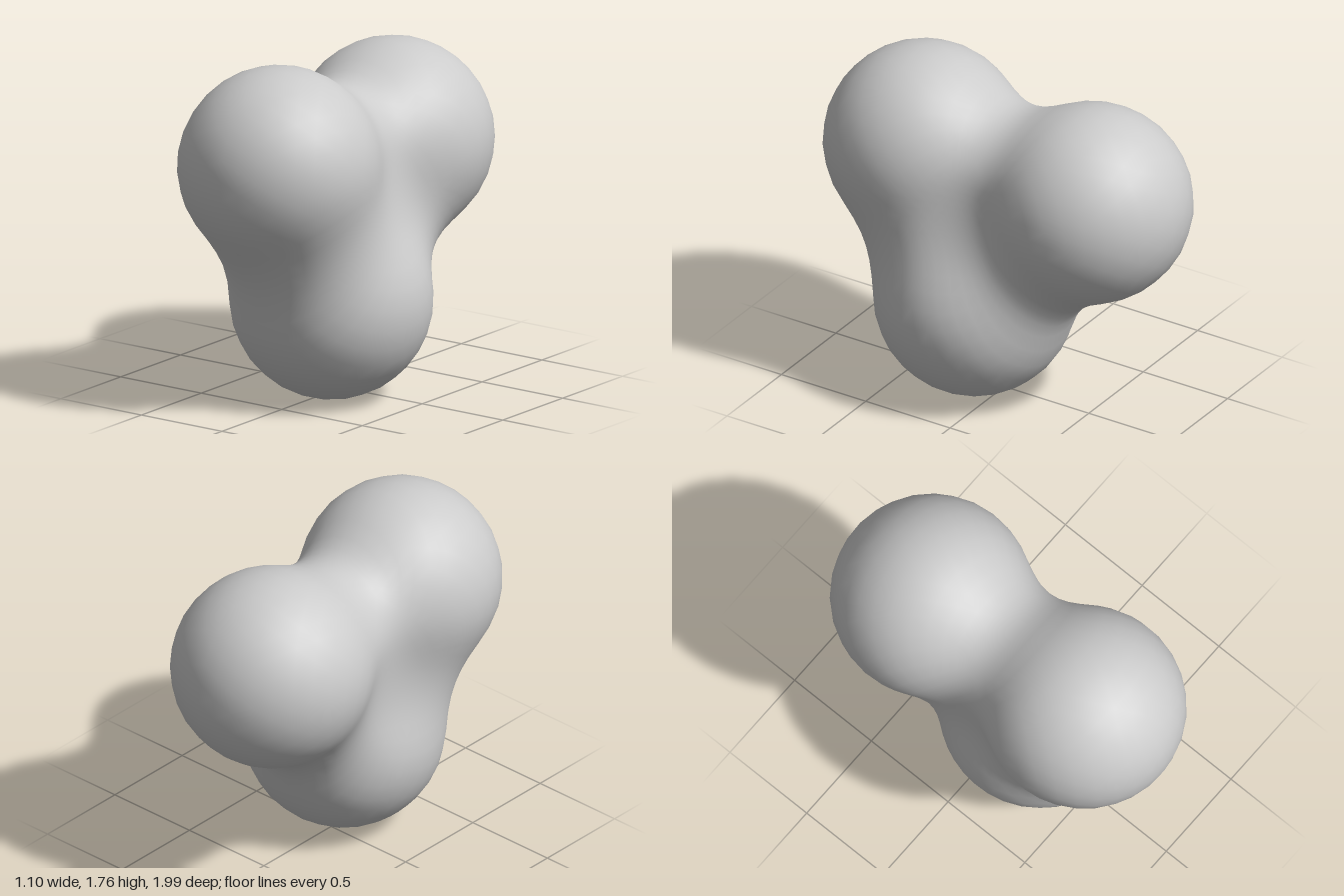
import * as THREE from 'three';
import { mergeVertices } from 'three/addons/utils/BufferGeometryUtils.js';

// Three equal balls that melt into each other
const BALLS = [
  new THREE.Vector3(-0.025, 1.255, 0.49), // upper front
  new THREE.Vector3(-0.045, 1.185, -0.49), // upper back
  new THREE.Vector3(0.045, 0.508, 0.145), // bottom
];
const REACH = 0.885; // where a ball's influence fades to nothing
const THRESHOLD = 0.6; // field value on the skin
const CORE = new THREE.Vector3(-0.01, 1.015, 0.014); // equally far from all balls

// Sum of soft falloffs, one per ball
function field(p) {
  let sum = 0;
  for (const ball of BALLS) {
    const t = 1 - p.distanceToSquared(ball) / (REACH * REACH);
    if (t > 0) sum += 2 * t * t * t;
  }
  return sum;
}

// Push a direction out from the core until it meets the skin
function skinPoint(dir) {
  const p = new THREE.Vector3();
  let inside = 0;
  let outside = 1.6;
  for (let i = 0; i < 30; i++) {
    const mid = (inside + outside) / 2;
    p.copy(CORE).addScaledVector(dir, mid);
    if (field(p) > THRESHOLD) inside = mid;
    else outside = mid;
  }
  return p;
}

export function createModel() {
  const group = new THREE.Group();
  group.name = 'blendedBalls';

  // Geodesic sphere, welded so that the shading is smooth
  let geometry = new THREE.IcosahedronGeometry(1, 10);
  geometry.deleteAttribute('normal');
  geometry.deleteAttribute('uv');
  geometry = mergeVertices(geometry, 1e-4);

  // Wrap it around the three balls
  const pos = geometry.attributes.position;
  const dir = new THREE.Vector3();
  for (let i = 0; i < pos.count; i++) {
    const p = skinPoint(dir.fromBufferAttribute(pos, i).normalize());
    pos.setXYZ(i, p.x, p.y, p.z);
  }
  geometry.computeVertexNormals();

  const body = new THREE.Mesh(geometry, new THREE.MeshStandardMaterial({ color: 0xcccccc }));
  body.name = 'threeLobedBody';
  group.add(body);
  return group;
}
